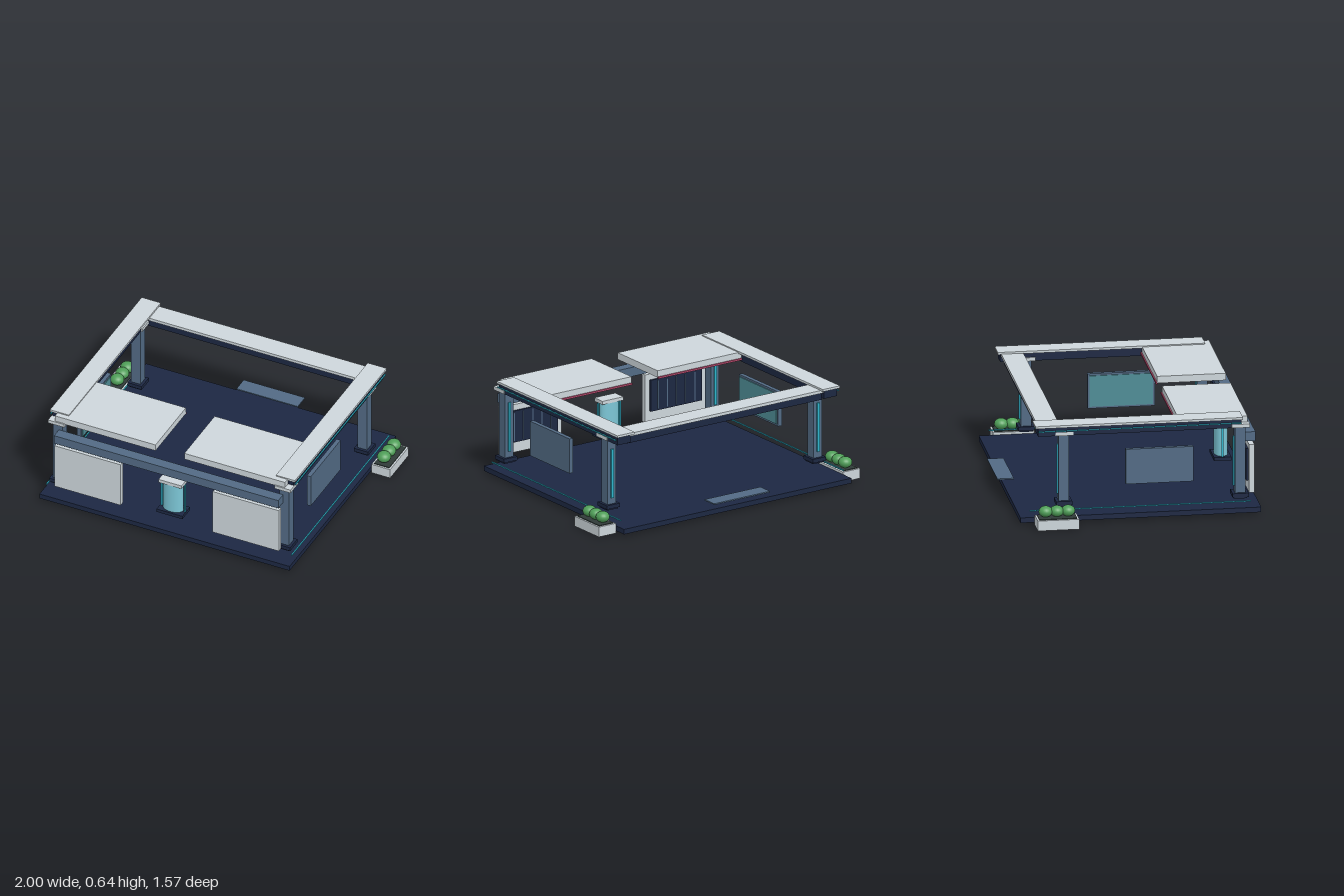
import * as THREE from 'three';

const mat = (color, extra = {}) => new THREE.MeshStandardMaterial({ color, ...extra });
const light = mat(0xcdd6db), slate = mat(0x526a84), navy = mat(0x1c2742);
const cyan = mat(0x2fb4cc), glass = mat(0x7cc6d6), teal = mat(0x4f8d96);
const pink = mat(0xb0486a), green = mat(0x4f9e58), soilMat = mat(0x2f3a38);

export function createModel() {
  const root = new THREE.Group();

  // Box given by its extents on each axis
  const box = (name, m, [x0, x1], [y0, y1], [z0, z1], parent = root) => {
    const mesh = new THREE.Mesh(new THREE.BoxGeometry(Math.abs(x1 - x0), y1 - y0, z1 - z0), m);
    mesh.position.set((x0 + x1) / 2, (y0 + y1) / 2, (z0 + z1) / 2);
    mesh.name = name;
    parent.add(mesh);
    return mesh;
  };
  const group = (name) => {
    const g = new THREE.Group();
    g.name = name;
    root.add(g);
    return g;
  };

  // Floor and the entrance step plate behind it
  box('floor', navy, [-0.87, 0.87], [0.017, 0.05], [-0.74, 0.783]);
  box('entrancePlate', slate, [-0.213, 0.213], [0.097, 0.105], [-0.787, -0.683]);

  // Cross beams at back and front
  box('backBeam', navy, [-0.745, 0.745], [0.555, 0.605], [-0.6, -0.494]);
  box('backBeamCover', light, [-0.75, 0.75], [0.605, 0.625], [-0.62, -0.48]);
  box('frontBeam', slate, [-0.78, 0.78], [0.458, 0.518], [0.69, 0.76]);

  for (const s of [-1, 1]) {
    const side = s > 0 ? 'left' : 'right';
    const sx = (a, b) => [s * a, s * b];

    // Columns with stepped base, cap and light strip
    for (const [end, z] of [['Front', 0.658], ['Back', -0.458]]) {
      const c = group(side + end + 'Column');
      box('baseFoot', navy, sx(0.747, 0.83), [0.1, 0.112], [z - 0.042, z + 0.042], c);
      box('base', navy, sx(0.738, 0.838), [0.11, 0.135], [z - 0.051, z + 0.051], c);
      box('shaft', slate, sx(0.756, 0.82), [0.13, 0.57], [z - 0.033, z + 0.033], c);
      box('cap', light, sx(0.731, 0.844), [0.567, 0.59], [z - 0.057, z + 0.057], c);
      box('lightStrip', cyan, sx(0.779, 0.797), [0.175, 0.497], [z - 0.042, z - 0.033], c);
    }

    // Side beam, cover and light strips
    box(side + 'SideBeam', navy, sx(0.74, 0.84), [0.567, 0.622], [-0.624, 0.662]);
    box(side + 'SideBeamCover', light, sx(0.72, 0.852), [0.622, 0.637], [-0.642, 0.67]);
    box(side + 'BeamLight', cyan, sx(0.847, 0.855), [0.597, 0.604], [-0.624, 0.662]);
    box(side + 'FloorLight', cyan, sx(0.848, 0.856), [0.085, 0.092], [-0.68, 0.72]);

    // Front canopy slab with coloured rear edge
    box(side + 'Canopy', light, sx(0.1, 0.8), [0.585, 0.63], [0.272, 0.706]);
    box(side + 'CanopyEdge', pink, sx(0.1, 0.74), [0.578, 0.59], [0.264, 0.273]);

    // Front wall panel with a ribbed screen on its inner face
    const wall = group(side + 'FrontWall');
    box('panel', light, sx(0.32, 0.78), [0.12, 0.435], [0.72, 0.753], wall);
    box('screen', navy, sx(0.355, 0.745), [0.19, 0.397], [0.707, 0.72], wall);
    for (let i = 0; i < 5; i++) {
      const x = 0.41 + i * 0.07;
      box('rib', slate, sx(x - 0.003, x + 0.003), [0.2, 0.387], [0.704, 0.707], wall);
    }

    // Hanging side panel with display facing inward
    box(side + 'SidePanel', slate, sx(0.785, 0.813), [0.222, 0.45], [-0.065, 0.363]);
    box(side + 'SideDisplay', teal, sx(0.779, 0.785), [0.235, 0.437], [-0.052, 0.35]);

    // Planter box with three bushes
    const p = group(side + 'Planter');
    box('trough', light, sx(0.87, 1), [0, 0.065], [-0.65, -0.387], p);
    box('soil', soilMat, sx(0.882, 0.988), [0.06, 0.07], [-0.638, -0.399], p);
    for (let i = 0; i < 3; i++) {
      const bush = new THREE.Mesh(new THREE.SphereGeometry(0.044, 20, 14), green);
      bush.scale.y = 0.8;
      bush.position.set(s * 0.928, 0.104, -0.448 - i * 0.071);
      bush.name = 'bush';
      p.add(bush);
    }
  }

  // Reception kiosk
  const kiosk = group('kiosk');
  box('kioskBase', navy, [-0.09, 0.09], [0.118, 0.14], [0.603, 0.713], kiosk);
  box('kioskTop', light, [-0.08, 0.08], [0.345, 0.368], [0.615, 0.705], kiosk);
  const body = new THREE.Mesh(new THREE.CylinderGeometry(0.068, 0.068, 0.207, 32), glass);
  body.scale.z = 0.62;
  body.position.set(0, 0.242, 0.658);
  body.name = 'kioskBody';
  kiosk.add(body);
  for (const s of [-1, 1]) {
    box('kioskLight', cyan, [s * 0.076, s * 0.086], [0.14, 0.345], [0.652, 0.664], kiosk);
  }
  return root;
}
